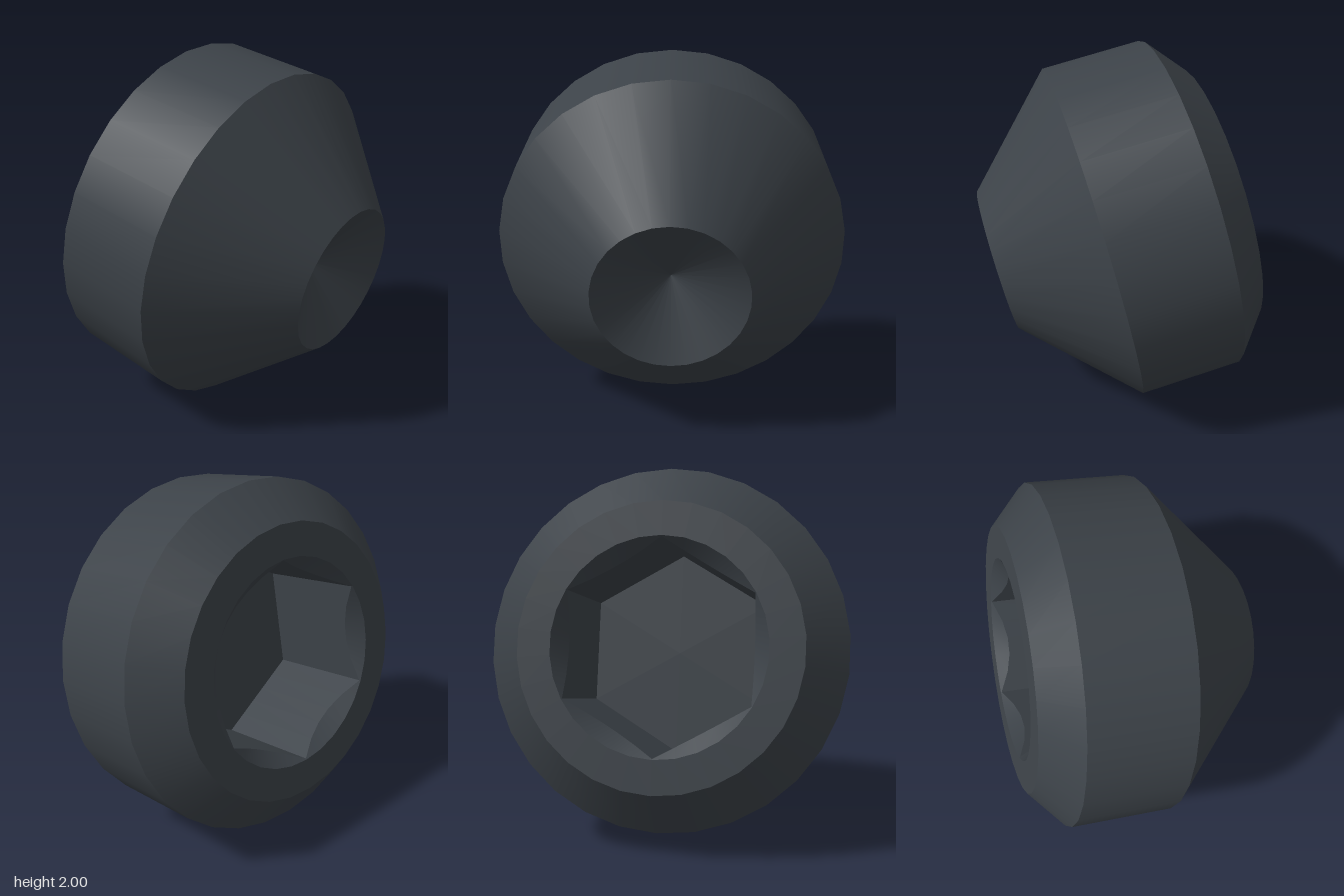
import * as THREE from 'three';

const SEGMENTS = 30;
const MOUTH = 0.57;                    // radius of the socket mouth
const APOTHEM = 0.565 * Math.cos(Math.PI / 6); // centre to hex flat
const FLOOR = 0.62;                    // socket depth
const darkSteel = new THREE.MeshStandardMaterial({ color: 0x3c4248 });
darkSteel.name = 'darkSteel';

// Rings of the turned body as [radius, distance from the socket face]
const RINGS = {
  mouth: [MOUTH, 0], face: [0.75, 0], rear: [0.963, 0.187],
  front: [0.963, 0.751], tip: [0.41, 1.303], cup: [0, 1.06],
};

// One smooth turned surface between two rings, with sharp ends
function band(name, from, to) {
  const points = [RINGS[from], RINGS[to]].map(([r, y]) => new THREE.Vector2(r, y));
  return named(name, new THREE.LatheGeometry(points, SEGMENTS));
}

function named(name, geometry) {
  const mesh = new THREE.Mesh(geometry, darkSteel);
  mesh.name = name;
  return mesh;
}

// Inward-facing strip over one hex flat; low and high give [radius, y] for an angle off its middle
function strip(flat, low, high) {
  const steps = SEGMENTS / 6, positions = [], index = [];
  for (let i = 0; i <= steps; i++) {
    const off = (i / steps - 0.5) * Math.PI / 3;
    const phi = (flat + 0.5) * Math.PI / 3 + off;
    for (const [r, y] of [low(off), high(off)]) {
      positions.push(r * Math.sin(phi), y, r * Math.cos(phi));
    }
    if (i < steps) {
      const a = 2 * i;
      index.push(a, a + 1, a + 2, a + 1, a + 3, a + 2);
    }
  }
  const geometry = new THREE.BufferGeometry();
  geometry.setAttribute('position', new THREE.Float32BufferAttribute(positions, 3));
  geometry.setIndex(index);
  geometry.computeVertexNormals();
  return geometry;
}

export function createModel() {
  const screw = new THREE.Group();
  screw.name = 'setScrew';

  // Turned outside, from socket face to cupped point
  screw.add(
    band('socketFace', 'mouth', 'face'),
    band('rearChamfer', 'face', 'rear'),
    band('body', 'rear', 'front'),
    band('pointCone', 'front', 'tip'),
    band('pointCup', 'tip', 'cup'),
  );

  // Hex socket: a 45 degree countersink cuts each flat in an arc
  const socket = new THREE.Group();
  socket.name = 'hexSocket';
  const rim = () => [MOUTH, 0];
  const arc = (off) => {
    const r = APOTHEM / Math.cos(off);
    return [r, MOUTH - r];
  };
  const base = (off) => [APOTHEM / Math.cos(off), FLOOR];
  for (let flat = 0; flat < 6; flat++) {
    socket.add(
      named('socketCountersink', strip(flat, rim, arc)),
      named('socketWall', strip(flat, arc, base)),
    );
  }
  const floor = new THREE.CircleGeometry(0.565, 6, Math.PI / 2);
  floor.rotateX(Math.PI / 2).translate(0, FLOOR, 0);
  socket.add(named('socketFloor', floor));
  screw.add(socket);

  // Tilt: the point aims left, slightly down and forward
  const axis = new THREE.Vector3(0.957, -0.204, 0.204).normalize();
  const up = new THREE.Vector3(0, 1, 0).addScaledVector(axis, -axis.y).normalize();
  const side = new THREE.Vector3().crossVectors(axis, up);
  screw.quaternion.setFromRotationMatrix(new THREE.Matrix4().makeBasis(side, axis, up));
  screw.position.set(-0.57, 1.098, -0.095);

  const model = new THREE.Group();
  model.name = 'model';
  model.add(screw);
  return model;
}
